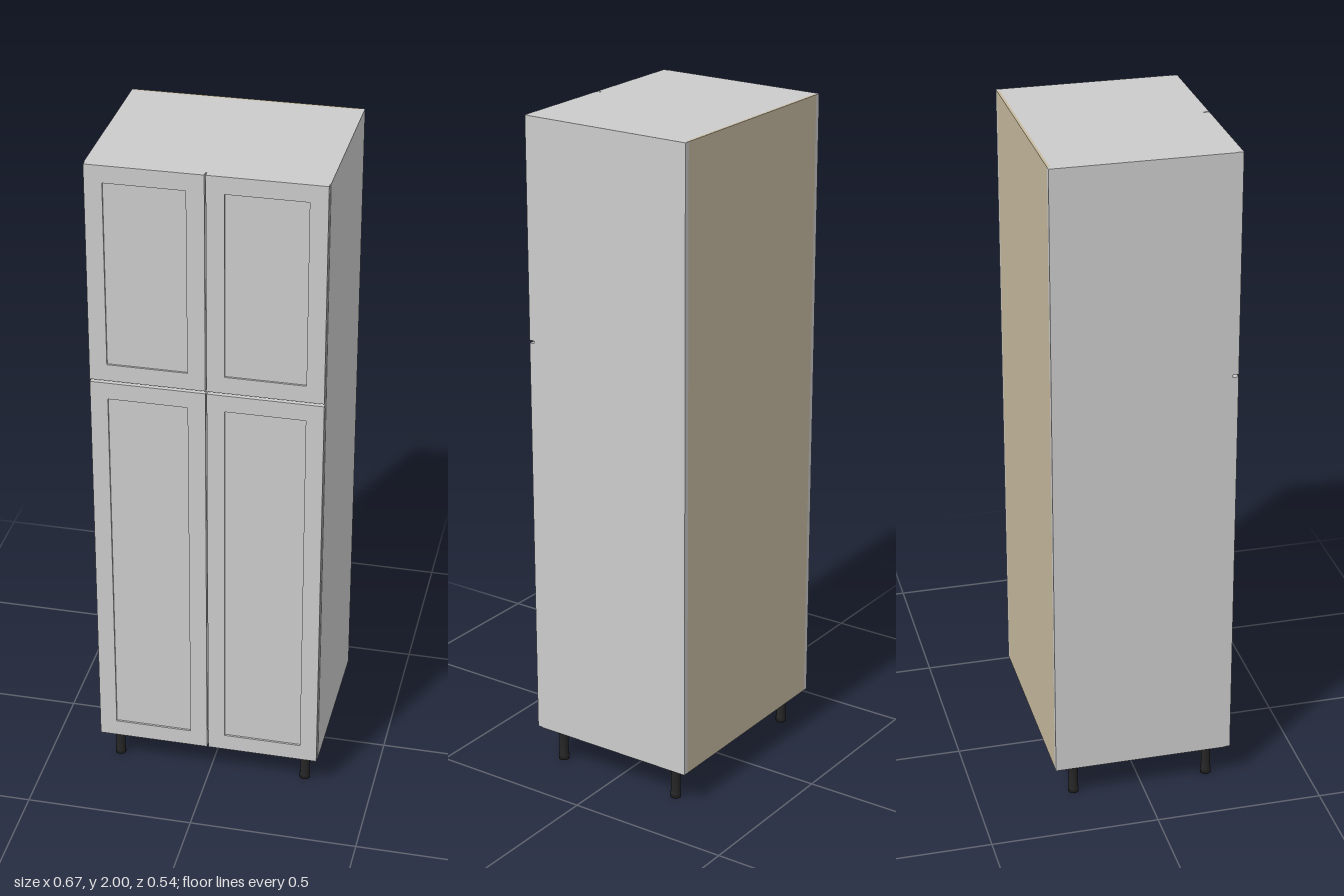
import * as THREE from 'three';

const grey = new THREE.MeshStandardMaterial({ color: 0xcccccc });
const tan = new THREE.MeshStandardMaterial({ color: 0xc8bba0 });
const black = new THREE.MeshStandardMaterial({ color: 0x262626 });

const X = 0.337, BACK = -0.27, CARCASS = 0.25, FRONT = 0.267;
const BASE = 0.11, TOP = 2, T = 0.016, INNER = X - T;

// Box given by its minimum and maximum corners
function box(name, x0, x1, y0, y1, z0, z1, material = grey) {
  const mesh = new THREE.Mesh(new THREE.BoxGeometry(x1 - x0, y1 - y0, z1 - z0), material);
  mesh.position.set((x0 + x1) / 2, (y0 + y1) / 2, (z0 + z1) / 2);
  mesh.name = name;
  return mesh;
}

// Framed door: four-sided frame around a slightly recessed panel
function door(name, x0, x1, y0, y1) {
  const group = new THREE.Group();
  group.name = name;
  const w = 0.051;
  const rect = (path, a, b, c, d) =>
    path.moveTo(a, c).lineTo(b, c).lineTo(b, d).lineTo(a, d).closePath();
  const shape = rect(new THREE.Shape(), x0, x1, y0, y1);
  shape.holes.push(rect(new THREE.Path(), x0 + w, x1 - w, y0 + w, y1 - w));
  const frame = new THREE.Mesh(
    new THREE.ExtrudeGeometry(shape, { depth: FRONT - CARCASS, bevelEnabled: false }), grey);
  frame.position.z = CARCASS;
  frame.name = 'doorFrame';
  group.add(frame, box('doorPanel', x0 + w, x1 - w, y0 + w, y1 - w, CARCASS, FRONT - 0.006));
  return group;
}

// Adjustable leg: square mounting plate, collar, post and foot
function leg(x, z) {
  const group = new THREE.Group();
  group.name = 'leg';
  const plate = new THREE.Mesh(new THREE.BoxGeometry(0.054, 0.012, 0.054), black);
  plate.position.y = BASE - 0.006;
  plate.name = 'legPlate';
  const profile = [[0, 0], [0.016, 0], [0.016, 0.016], [0.014, 0.018], [0.014, 0.085],
    [0.02, 0.09], [0.02, 0.098]].map(([r, y]) => new THREE.Vector2(r, y));
  const post = new THREE.Mesh(new THREE.LatheGeometry(profile, 24), black);
  post.name = 'legPost';
  group.add(plate, post);
  group.position.set(x, 0, z);
  return group;
}

export function createModel() {
  const model = new THREE.Group();
  model.name = 'tallCabinet';

  // Carcass
  model.add(
    box('rightSide', -X, -INNER, BASE, TOP, BACK, CARCASS),
    box('leftSide', INNER, X, BASE, TOP, BACK, CARCASS),
    box('topPanel', -INNER, INNER, TOP - T, TOP, BACK + 0.008, CARCASS),
    box('bottomPanel', -INNER, INNER, BASE, BASE + T, BACK + 0.008, CARCASS),
    box('backPanel', -INNER, INNER, BASE, TOP, BACK, BACK + 0.008, tan));

  // Inner shelves
  for (const y of [0.48, 0.86, 1.24, 1.62]) {
    model.add(box('shelf', -INNER, INNER, y - T / 2, y + T / 2, BACK + 0.008, CARCASS - 0.02));
  }

  // Two tall lower doors and two upper doors
  for (const [label, y0, y1] of [['lower', BASE, 1.336], ['upper', 1.344, TOP]]) {
    model.add(door(label + 'RightDoor', -0.335, -0.002, y0, y1));
    model.add(door(label + 'LeftDoor', 0.002, 0.335, y0, y1));
  }

  // Legs
  for (const x of [-0.29, 0.29]) {
    for (const z of [-0.207, 0.205]) model.add(leg(x, z));
  }
  return model;
}
